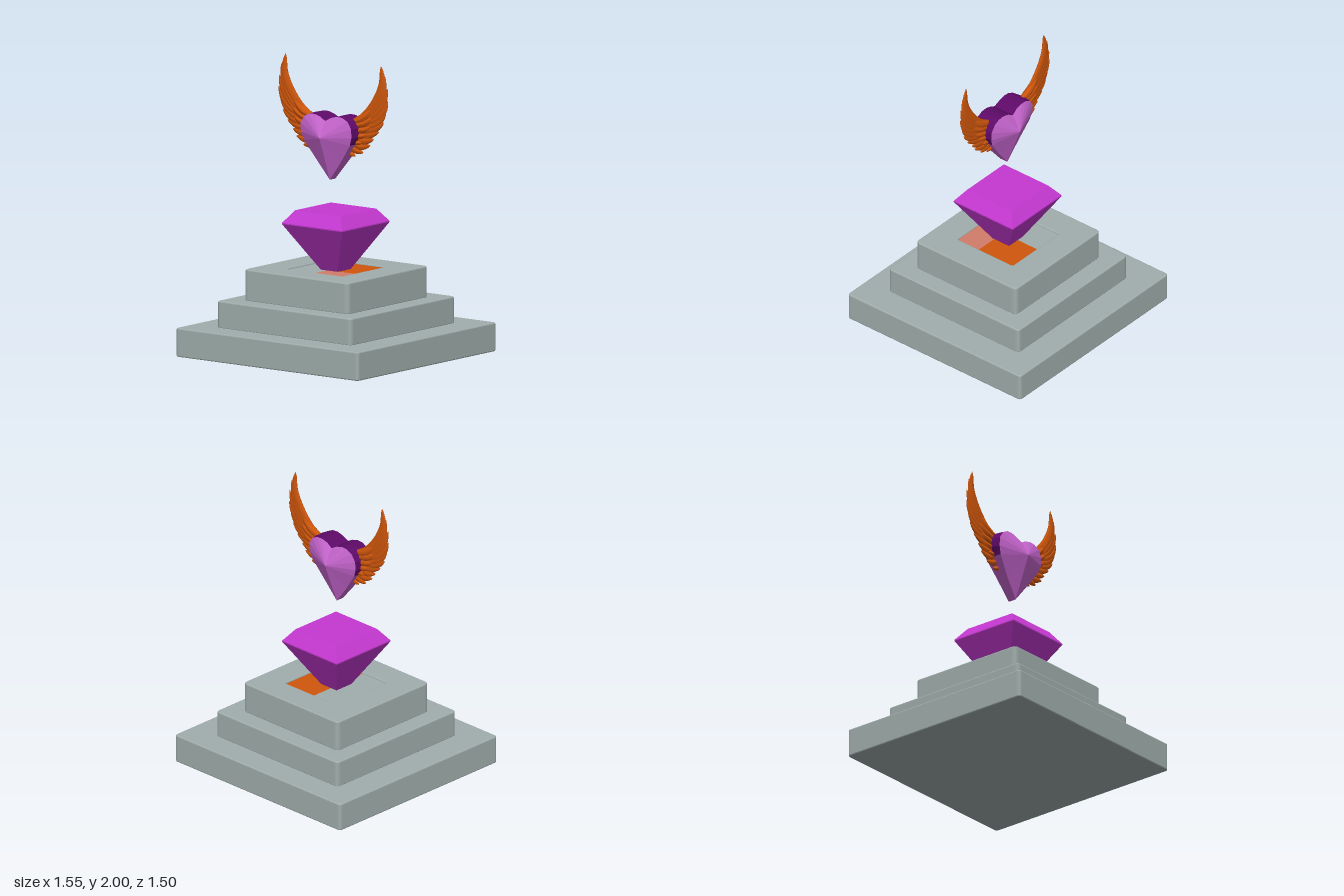
import * as THREE from 'three';

const mat = (name, color) => {
  const m = new THREE.MeshStandardMaterial({ color });
  m.name = name;
  return m;
};

export function createModel() {
  const stone = mat('grey stone', 0xa0aeac);
  const gemColor = mat('magenta gem', 0xc438d0);
  const pink = mat('heart pink', 0xc866d0);
  const purple = mat('deep purple', 0x5e0a68);
  const orange = mat('wing orange', 0xcf560c);
  const salmon = mat('salmon', 0xd27c68);

  const root = new THREE.Group();
  root.name = 'wingedHeartPedestal';
  const add = (parent, name, geo, material) => {
    const mesh = new THREE.Mesh(geo, material);
    mesh.name = name;
    parent.add(mesh);
    return mesh;
  };

  // Stepped pedestal: rounded slabs, the top one with a square recess
  const roundedRect = (target, w, d, r) => {
    const x = w / 2, y = d / 2;
    target.moveTo(-x + r, -y);
    target.lineTo(x - r, -y).quadraticCurveTo(x, -y, x, -y + r);
    target.lineTo(x, y - r).quadraticCurveTo(x, y, x - r, y);
    target.lineTo(-x + r, y).quadraticCurveTo(-x, y, -x, y - r);
    target.lineTo(-x, -y + r).quadraticCurveTo(-x, -y, -x + r, -y);
    return target;
  };
  const tier = (name, w, d, y0, y1, r, hole) => {
    const b = 0.008;
    const shape = roundedRect(new THREE.Shape(), w, d, r);
    if (hole) shape.holes.push(roundedRect(new THREE.Path(), hole, hole, 0.015));
    const geo = new THREE.ExtrudeGeometry(shape, {
      depth: y1 - y0 - 2 * b, bevelEnabled: true, bevelSize: b, bevelThickness: b,
      bevelOffset: -b, bevelSegments: 2, curveSegments: 5,
    });
    geo.rotateX(-Math.PI / 2).translate(0, y0 + b, 0);
    add(root, name, geo, stone);
  };
  tier('lowerStep', 1.55, 1.5, 0, 0.195, 0.025);
  tier('middleStep', 1.14, 1.13, 0.19, 0.375, 0.03);
  tier('upperStep', 0.885, 0.87, 0.37, 0.585, 0.035, 0.48);

  // Coloured panels on the recess floor
  const panel = (name, x0, x1, z0, z1, material) => {
    const geo = new THREE.BoxGeometry(x1 - x0, 0.008, z1 - z0);
    add(root, name, geo.translate((x0 + x1) / 2, 0.57, (z0 + z1) / 2), material);
  };
  panel('recessFloorStone', -0.25, -0.02, -0.25, 0.25, stone);
  panel('recessFloorOrange', -0.02, 0.25, -0.25, 0.06, orange);
  panel('recessFloorSalmon', -0.02, 0.25, 0.06, 0.25, salmon);

  // Square cut gem
  const profile = [[0, 0.565], [0.066, 0.565], [0.256, 0.888], [0.256, 0.896], [0.193, 0.98], [0, 0.98]]
    .map(([h, y]) => new THREE.Vector2(h * Math.SQRT2, y));
  const gemGeo = new THREE.LatheGeometry(profile, 4).rotateY(Math.PI / 4).toNonIndexed();
  gemGeo.computeVertexNormals();
  add(root, 'gem', gemGeo, gemColor).position.z = 0.003;

  // Faceted heart: half outline (x, y, half depth) from the bottom tip up to the notch
  const half = [
    [0, 1.19, 0.03], [0.1, 1.315, 0.042], [0.195, 1.445, 0.062], [0.215, 1.5, 0.07], [0.215, 1.56, 0.073],
    [0.185, 1.608, 0.075], [0.14, 1.63, 0.075], [0.095, 1.633, 0.075], [0.045, 1.62, 0.075], [0, 1.595, 0.08],
  ];
  const outline = [...half, ...half.slice(1, -1).reverse().map(([x, y, d]) => [-x, y, d])];
  const pinkTris = [], purpleTris = [];
  const tri = (list, ...pts) => pts.forEach((p) => list.push(...p));
  const quad = (list, a, b, c, d) => { tri(list, a, b, c); tri(list, a, c, d); };
  const front = ([x, y, d]) => [x, y, d];
  const back = ([x, y, d]) => [x, y, -d];
  const middle = ([x, y]) => [x * (y > 1.47 ? 1.07 : 1), y, 0];
  outline.forEach((p, i) => {
    const q = outline[(i + 1) % outline.length];
    tri(pinkTris, [0, 1.485, 0.142], front(p), front(q));
    tri(pinkTris, [0, 1.485, -0.142], back(q), back(p));
    const band = Math.min(p[1], q[1]) > 1.43 ? purpleTris : pinkTris;
    quad(band, front(p), middle(p), middle(q), front(q));
    quad(band, middle(p), back(p), back(q), middle(q));
  });
  const faceted = (list) => {
    const geo = new THREE.BufferGeometry();
    geo.setAttribute('position', new THREE.Float32BufferAttribute(list, 3));
    geo.computeVertexNormals();
    return geo;
  };
  const heart = new THREE.Group();
  heart.name = 'heart';
  heart.position.z = 0.037;
  add(heart, 'heartFacets', faceted(pinkTris), pink);
  add(heart, 'heartRim', faceted(purpleTris), purple);
  root.add(heart);

  // Feather: a flattened tube that tapers to its tip
  const feather = (points, width, thick, side) => {
    const curve = new THREE.CatmullRomCurve3(points.map(([x, y]) => new THREE.Vector3(side * x, y, 0)));
    const seg = 18, radial = 10;
    const geo = new THREE.TubeGeometry(curve, seg, 1, radial);
    const pos = geo.attributes.position;
    const v = new THREE.Vector3();
    for (let i = 0; i <= seg; i++) {
      const t = i / seg, c = curve.getPointAt(t);
      const k = Math.pow(Math.max(Math.sin(Math.PI * (0.12 + 0.88 * t)), 0.0001), 0.6);
      for (let j = 0; j <= radial; j++) {
        const n = i * (radial + 1) + j;
        v.fromBufferAttribute(pos, n).sub(c);
        pos.setXYZ(n, c.x + v.x * width * k, c.y + v.y * width * k, v.z * thick * k);
      }
    }
    geo.computeVertexNormals();
    return geo;
  };
  // Long feathers, top to bottom, then the shorter covering row
  const longFeathers = [
    [[[0.16, 1.585], [0.27, 1.64], [0.365, 1.745], [0.415, 1.87], [0.405, 2.0]], 0.04],
    [[[0.17, 1.58], [0.33, 1.665], [0.41, 1.78], [0.442, 1.93]], 0.034],
    [[[0.17, 1.57], [0.35, 1.655], [0.425, 1.75], [0.462, 1.85]], 0.032],
    [[[0.17, 1.56], [0.35, 1.625], [0.425, 1.69], [0.465, 1.77]], 0.032],
    [[[0.17, 1.55], [0.34, 1.59], [0.405, 1.635], [0.45, 1.69]], 0.03],
    [[[0.16, 1.53], [0.32, 1.555], [0.38, 1.58], [0.43, 1.62]], 0.028],
    [[[0.16, 1.51], [0.28, 1.515], [0.39, 1.55]], 0.028],
    [[[0.15, 1.5], [0.25, 1.475], [0.345, 1.495]], 0.027],
    [[[0.14, 1.48], [0.22, 1.435], [0.315, 1.45]], 0.025],
    [[[0.13, 1.46], [0.18, 1.41], [0.255, 1.395]], 0.024],
    [[[0.1, 1.44], [0.135, 1.385], [0.19, 1.365]], 0.02],
  ];
  const coverts = [
    [[[0.16, 1.59], [0.26, 1.63], [0.345, 1.71]], 0.03],
    [[[0.16, 1.57], [0.27, 1.595], [0.36, 1.655]], 0.028],
    [[[0.16, 1.54], [0.26, 1.55], [0.34, 1.585]], 0.026],
    [[[0.15, 1.51], [0.23, 1.505], [0.3, 1.525]], 0.024],
    [[[0.14, 1.48], [0.2, 1.46], [0.26, 1.465]], 0.022],
  ];
  for (const side of [1, -1]) {
    const wing = new THREE.Group();
    wing.name = side > 0 ? 'leftWing' : 'rightWing';
    wing.position.z = 0.028;
    longFeathers.forEach(([pts, w], i) => add(wing, `longFeather${i + 1}`, feather(pts, w, 0.013, side), orange));
    coverts.forEach(([pts, w], i) => add(wing, `covertFeather${i + 1}`, feather(pts, w, 0.024, side), orange));
    root.add(wing);
  }
  return root;
}
